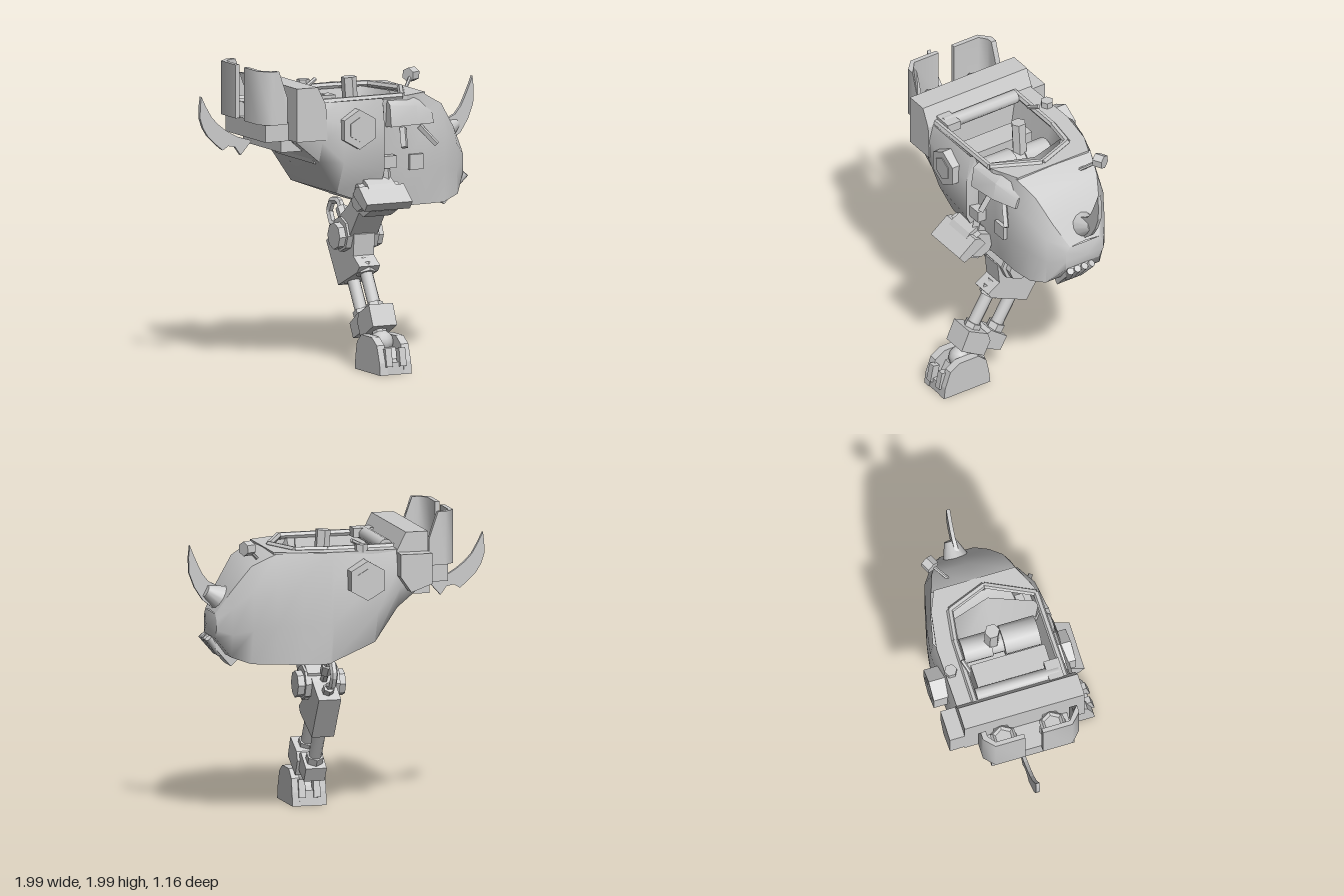
import * as THREE from 'three';
import { toCreasedNormals } from 'three/addons/utils/BufferGeometryUtils.js';

const grey = new THREE.MeshStandardMaterial({ color: 0xcccccc, side: THREE.DoubleSide });
const flat = new THREE.MeshStandardMaterial({ color: 0xcccccc, flatShading: true });
const V = (p) => new THREE.Vector3(...p);

export function createModel() {
  const root = new THREE.Group();
  const group = (name) => {
    const g = new THREE.Group();
    g.name = name;
    root.add(g);
    return g;
  };
  const add = (parent, name, geo, pos = [0, 0, 0], rot = [0, 0, 0], mat = flat) => {
    const m = new THREE.Mesh(geo, mat);
    m.name = name;
    m.position.set(...pos);
    m.rotation.set(...rot);
    parent.add(m);
    return m;
  };
  const box = (parent, name, size, pos, rot) => add(parent, name, new THREE.BoxGeometry(...size), pos, rot);
  // Round bar between two points
  const rod = (parent, name, a, b, r, sides = 8, r2 = r) => {
    const d = V(b).sub(V(a));
    const geo = toCreasedNormals(new THREE.CylinderGeometry(r2, r, d.length(), sides), 0.8);
    const m = add(parent, name, geo, undefined, undefined, sides > 8 ? grey : flat);
    m.position.copy(V(a)).addScaledVector(d, 0.5);
    m.quaternion.setFromUnitVectors(new THREE.Vector3(0, 1, 0), d.normalize());
    return m;
  };
  // Plate cut from an outline: plane 'x' takes (z, y), 'y' takes (x, z), 'z' takes (x, y)
  const plate = (parent, name, plane, pts, thick, at, hole) => {
    const shape = new THREE.Shape(pts.map((p) => new THREE.Vector2(...p)));
    if (hole) shape.holes.push(new THREE.Path(hole.map((p) => new THREE.Vector2(...p))));
    const geo = new THREE.ExtrudeGeometry(shape, { depth: thick, bevelEnabled: false });
    geo.translate(0, 0, -thick / 2);
    if (plane === 'x') geo.rotateY(-Math.PI / 2);
    if (plane === 'y') geo.rotateX(Math.PI / 2);
    const pos = { x: [at, 0, 0], y: [0, at, 0], z: [0, 0, at] }[plane];
    return add(parent, name, geo, pos);
  };
  // Skin over a row of cross-sections with equal point counts
  const loft = (parent, name, rows, crease = 1.1) => {
    const n = rows[0].length, index = [];
    for (let i = 0; i < rows.length - 1; i++)
      for (let j = 0; j < n - 1; j++) {
        const a = i * n + j, b = a + n;
        index.push(a, a + 1, b, a + 1, b + 1, b);
      }
    const geo = new THREE.BufferGeometry();
    geo.setAttribute('position', new THREE.Float32BufferAttribute(rows.flat(2), 3));
    geo.setIndex(index);
    return add(parent, name, toCreasedNormals(geo, crease), undefined, undefined, grey);
  };

  // Hull stations: x, top y, bottom y, top z pair, side z pair, bottom z pair
  const stations = [
    [-0.5, 1.74, 1.52, 0.30, -0.43, 0.33, -0.45, 0.30, -0.40],
    [-0.33, 1.77, 1.38, 0.31, -0.45, 0.34, -0.47, 0.29, -0.40],
    [-0.18, 1.77, 1.16, 0.31, -0.45, 0.35, -0.48, 0.25, -0.40],
    [0.12, 1.77, 1.05, 0.31, -0.46, 0.34, -0.49, 0.22, -0.46],
    [0.14, 1.77, 1.04, 0.28, -0.47, 0.26, -0.49, 0.21, -0.47],
    [0.32, 1.77, 1.04, 0.27, -0.43, 0.25, -0.46, 0.21, -0.45],
    [0.48, 1.76, 1.04, 0.20, -0.38, 0.24, -0.42, 0.21, -0.39],
    [0.63, 1.68, 1.04, 0.15, -0.33, 0.20, -0.38, 0.19, -0.33],
    [0.75, 1.51, 1.08, 0.09, -0.27, 0.14, -0.31, 0.15, -0.27],
    [0.84, 1.36, 1.20, 0.02, -0.21, 0.05, -0.24, 0.05, -0.21],
  ];
  const section = ([x, t, b, tl, tr, sl, sr, bl, br]) => {
    const h = t - b;
    return [[x, t, tl], [x, b + h * 0.75, sl], [x, b + h * 0.35, sl], [x, b, bl],
      [x, b, br], [x, b + h * 0.35, sr], [x, b + h * 0.75, sr], [x, t, tr]];
  };
  const hull = group('hull');
  loft(hull, 'hullShell', stations.map(section));
  loft(hull, 'noseTop', stations.slice(5).map(([x, t, , l, r], i) => [[x, t, r], [x, t + (i ? 0.01 : -0.05), (l + r) / 2], [x, t, l]]).slice(1));
  const tip = section(stations.at(-1)), point = [0.87, 1.28, -0.1];
  loft(hull, 'noseCap', [[...tip, tip[0]], [...tip, tip[0]].map(() => point)]);

  // Cockpit opening with a raised rim and sloping tub walls
  const outer = [[-0.4, -0.45], [0.1, -0.46], [0.35, -0.42], [0.49, -0.36], [0.49, 0.19], [0.32, 0.27], [-0.4, 0.31]];
  const inner = [[-0.33, -0.33], [0.12, -0.33], [0.33, -0.3], [0.43, -0.04], [0.28, 0.27], [-0.33, 0.28]];
  plate(hull, 'deck', 'y', outer, 0.03, 1.755, inner);
  inner.forEach((p, i) => {
    const q = inner[(i + 1) % inner.length];
    rod(hull, 'cockpitRim', [p[0], 1.77, p[1]], [q[0], 1.77, q[1]], 0.022, 6);
  });
  const ring = (s, y) => [...inner, inner[0]].map(([x, z]) => [x < 0 ? x : x * s, y, -0.03 + (z + 0.03) * (s + 0.2)]);
  loft(hull, 'cockpitTub', [ring(0.8, 1.76), ring(0.6, 1.4)]);

  // Cockpit interior
  const cockpit = group('cockpit');
  box(cockpit, 'floor', [0.62, 0.03, 0.52], [-0.02, 1.4, -0.03]);
  box(cockpit, 'seatBack', [0.16, 0.3, 0.5], [-0.11, 1.5, -0.02]);
  rod(cockpit, 'engineDrum', [0.1, 1.58, -0.29], [0.1, 1.58, -0.1], 0.085, 12);
  rod(cockpit, 'engineDrum', [0.1, 1.58, -0.02], [0.1, 1.58, 0.22], 0.1, 12);
  rod(cockpit, 'drumCollar', [0.1, 1.58, -0.12], [0.1, 1.58, 0], 0.075, 12);
  rod(cockpit, 'controlColumn', [0.1, 1.58, -0.09], [0.08, 1.86, -0.09], 0.05, 6);
  rod(cockpit, 'headrest', [-0.28, 1.77, -0.31], [-0.28, 1.77, 0.25], 0.045, 10);
  box(cockpit, 'sideConsole', [0.14, 0.06, 0.1], [-0.27, 1.78, 0.22]);

  // Rear bulkhead, shoulder block and lower step
  const rear = group('rear');
  const bulk = [[-0.52, 1.88], [-0.37, 1.88], [-0.31, 1.76], [-0.3, 1.53], [-0.52, 1.53]];
  plate(rear, 'bulkhead', 'z', bulk, 0.81, -0.055);
  plate(rear, 'shoulderBlock', 'z', [[-0.52, 1.75], [-0.31, 1.75], [-0.31, 1.6], [-0.38, 1.5], [-0.52, 1.55]], 0.1, -0.51);
  plate(rear, 'rearStep', 'z', [[-0.57, 1.55], [-0.28, 1.55], [-0.28, 1.36], [-0.33, 1.36], [-0.36, 1.45], [-0.57, 1.45]], 0.54, -0.05);
  box(rear, 'exhaustShelf', [0.2, 0.12, 0.56], [-0.59, 1.585, -0.05]);

  // Exhaust stacks wrapped by mirrored shields
  for (const s of [-1, 1]) {
    const z = (d) => -0.055 + s * d;
    rod(rear, 'exhaustStack', [-0.6, 1.6, z(0.165)], [-0.6, 1.74, z(0.165)], 0.09, 6);
    add(rear, 'exhaustMouth', new THREE.TorusGeometry(0.075, 0.018, 4, 6), [-0.6, 1.74, z(0.165)], [Math.PI / 2, 0, 0]);
    const wrap = [[-0.55, 0.325], [-0.61, 0.325], [-0.66, 0.325], [-0.73, 0.26], [-0.73, 0.06], [-0.7, 0.06], [-0.7, 0.25],
      [-0.65, 0.29], [-0.61, 0.29], [-0.55, 0.29]];
    const m = plate(rear, 'exhaustShield', 'y', wrap.map(([x, d]) => [x, z(d)]), 0.35, 1.815);
    // Slope the shield's upper edge down towards the hull
    const p = m.geometry.attributes.position;
    for (let i = 0; i < p.count; i++)
      if (p.getY(i) > 0 && p.getX(i) > -0.6) p.setY(i, 0);
    m.geometry = toCreasedNormals(m.geometry, 0.9);
    m.material = grey;
  }

  // Curved horn blades at nose and tail
  const horns = group('horns');
  const curve = (pts) => new THREE.SplineCurve(pts.map((p) => new THREE.Vector2(...p))).getPoints(6).map((p) => [p.x, p.y]);
  plate(horns, 'noseHorn', 'z', [...curve([[0.76, 1.34], [0.9, 1.44], [0.99, 1.62], [0.985, 1.8]]),
    ...curve([[0.985, 1.8], [0.93, 1.67], [0.86, 1.56], [0.72, 1.5]]).slice(1)], 0.025, -0.11);
  plate(horns, 'tailHorn', 'z', [...curve([[-0.985, 1.8], [-0.995, 1.66], [-0.94, 1.54], [-0.83, 1.44]]),
    [-0.79, 1.465], [-0.74, 1.455], [-0.7, 1.4], [-0.62, 1.49],
    ...curve([[-0.72, 1.52], [-0.81, 1.57], [-0.91, 1.66], [-0.985, 1.8]]).slice(0, -1)], 0.025, -0.11);
  rod(horns, 'hornSocket', [0.72, 1.42, -0.12], [0.88, 1.5, -0.13], 0.11, 12, 0.04);

  // Hull fittings
  const fit = group('fittings');
  for (const [a, b] of [[0.3, 0.39], [-0.45, -0.57]]) {
    rod(fit, 'hexPort', [-0.085, 1.59, a], [-0.085, 1.59, b], 0.13, 6);
    rod(fit, 'hexPortHub', [-0.085, 1.59, b], [-0.085, 1.59, b + Math.sign(b) * 0.006], 0.08, 6);
  }
  rod(fit, 'antenna', [0.53, 1.68, -0.21], [0.66, 1.8, -0.33], 0.012, 6);
  rod(fit, 'antennaHead', [0.63, 1.8, -0.32], [0.69, 1.8, -0.35], 0.048, 6);
  rod(fit, 'rimKnob', [-0.08, 1.76, -0.42], [-0.08, 1.81, -0.42], 0.042, 6);
  rod(fit, 'rimLever', [-0.12, 1.78, -0.3], [-0.04, 1.82, -0.33], 0.014, 6);
  const hood = [[[0.17, 1.76, 0.26], [0.17, 1.72, 0.32], [0.17, 1.58, 0.34], [0.17, 1.57, 0.22]],
    [[0.38, 1.76, 0.23], [0.38, 1.7, 0.29], [0.38, 1.58, 0.31], [0.38, 1.57, 0.2]],
    [[0.53, 1.67, 0.18], [0.53, 1.63, 0.22], [0.53, 1.57, 0.24], [0.53, 1.56, 0.16]]];
  loft(fit, 'browHood', hood, 0.7);
  for (const i of [0, 2]) loft(fit, 'browHoodEnd', [[hood[i][0], hood[i][1]], [hood[i][3], hood[i][2]]]);
  box(fit, 'lamp', [0.1, 0.1, 0.1], [0.39, 1.33, 0.22]);
  rod(fit, 'browStrut', [0.27, 1.44, 0.33], [0.29, 1.56, 0.27], 0.025, 4);
  rod(fit, 'browStrut', [0.52, 1.44, 0.3], [0.42, 1.56, 0.25], 0.02, 4);

  // Chin mouthpiece with a fan of tubes
  const chin = group('chin');
  box(chin, 'chinBlock', [0.23, 0.09, 0.17], [0.755, 1.115, -0.05], [0, 0, 0.85]);
  for (let i = 0; i < 4; i++) {
    const k = i - 1.5;
    rod(chin, 'chinTube', [0.775, 1.08, -0.05 - k * 0.03], [0.865, 1.19, -0.05 - k * 0.055], 0.024, 10);
  }

  // Hip joint and linkage up to the hull
  const leg = group('leg');
  const cx = 0.085;
  plate(leg, 'hipBlock', 'x', [[0.32, 1.2], [0.36, 1.21], [0.485, 1.11], [0.445, 1.06], [0.36, 1.1], [0.28, 1.15]], 0.33, cx);
  plate(leg, 'hipCore', 'x', [[0.36, 1.22], [0.42, 1.15], [0.4, 1.05], [0.3, 1.0], [0.2, 1.04], [0.18, 1.16], [0.28, 1.26]], 0.2, cx);
  rod(leg, 'hipPin', [-0.06, 1.13, 0.3], [0.23, 1.13, 0.3], 0.09, 8);
  rod(leg, 'hipLink', [0.16, 1.2, 0.3], [0.16, 1.36, 0.27], 0.03, 4);
  box(leg, 'linkBracket', [0.11, 0.08, 0.08], [0.165, 1.35, 0.28]);

  // Thigh, knee and calf housing
  plate(leg, 'thigh', 'x', [[0.22, 1.2], [0.33, 1.02], [0.24, 1.02], [0.11, 0.85], [-0.03, 0.74], [-0.1, 0.92], [0.02, 1.0], [0.1, 1.06]], 0.2, cx);
  rod(leg, 'kneeDisc', [-0.03, 0.85, 0], [0.2, 0.85, 0], 0.115, 8);
  rod(leg, 'kneeHub', [-0.075, 0.84, 0], [0.245, 0.84, 0], 0.088, 8);
  plate(leg, 'kneeCover', 'x', [[0.11, 0.7], [0.125, 0.86], [0.09, 0.91], [0, 0.9], [0, 0.7]], 0.15, cx);
  plate(leg, 'calfHousing', 'x', [[0.2, 0.66], [0.17, 0.62], [-0.1, 0.5], [-0.27, 0.77], [-0.12, 0.87], [0, 0.99], [0.1, 0.85], [0.11, 0.72]], 0.15, cx);

  // Handle loop behind the knee
  const loop = [[0.8, -0.18], [0.86, -0.25], [0.87, -0.33], [0.95, -0.37], [1.02, -0.33], [1.03, -0.23], [0.94, -0.17], [0.88, -0.12]];
  const path = new THREE.CurvePath();
  for (let i = 1; i < loop.length; i++) path.add(new THREE.LineCurve3(V([cx, ...loop[i - 1]]), V([cx, ...loop[i]])));
  add(leg, 'kneeLoop', new THREE.TubeGeometry(path, 28, 0.025, 6));
  rod(leg, 'loopCollar', [cx, 0.93, -0.16], [cx, 0.99, -0.205], 0.038, 6);
  rod(leg, 'loopCollar', [cx, 0.8, -0.19], [cx, 0.85, -0.25], 0.038, 6);

  // Twin shin pistons with collars
  for (const [y, z, w] of [[0.34, 0.31, 0.042], [0.27, 0.13, 0.042]]) {
    const at = (t) => [cx, y + t * 0.35, z - t * 0.21];
    rod(leg, 'shinPiston', at(0), at(1), w, 10);
    rod(leg, 'pistonCollar', at(0.75), at(0.9), w + 0.022, 6);
    rod(leg, 'pistonCollar', at(0.12), at(0.24), w + 0.016, 6);
  }
  plate(leg, 'ankleBlock', 'x', [[0.355, 0.435], [0.415, 0.3], [0.24, 0.2], [0.19, 0.3], [0.21, 0.36]], 0.175, cx);
  plate(leg, 'ankleHeel', 'x', [[0.17, 0.36], [0.05, 0.27], [0.1, 0.18], [0.25, 0.25], [0.27, 0.32]], 0.14, cx);

  // Foot: two side cheeks around a central slot with the ankle ball
  const foot = group('foot');
  const sole = [[0.57, 0], [0.56, 0.08], [0.52, 0.19], [0.45, 0.235], [0.3, 0.235], [0.24, 0.18], [0.22, 0.09], [0.21, 0]];
  for (const s of [-1, 1]) plate(foot, 'footCheek', 'x', sole, 0.055, cx + s * 0.087);
  plate(foot, 'footCore', 'x', [[0.565, 0], [0.56, 0.08], [0.48, 0.09], [0.44, 0.16], [0.33, 0.16], [0.28, 0.12], [0.22, 0.1], [0.21, 0]], 0.13, cx);
  add(foot, 'ankleBall', new THREE.SphereGeometry(0.075, 12, 8), [cx, 0.19, 0.37], [0, 0, 0], grey);
  rod(foot, 'anklePost', [cx, 0.18, 0.37], [cx, 0.32, 0.3], 0.05, 8);
  for (const z of [0.545, 0.235])
    for (const s of [-1, 1]) box(foot, 'toeLug', [0.045, 0.12, 0.05], [cx + s * 0.05, 0.11, z], [z > 0.4 ? -0.2 : 0.2, 0, 0]);

  return root;
}
